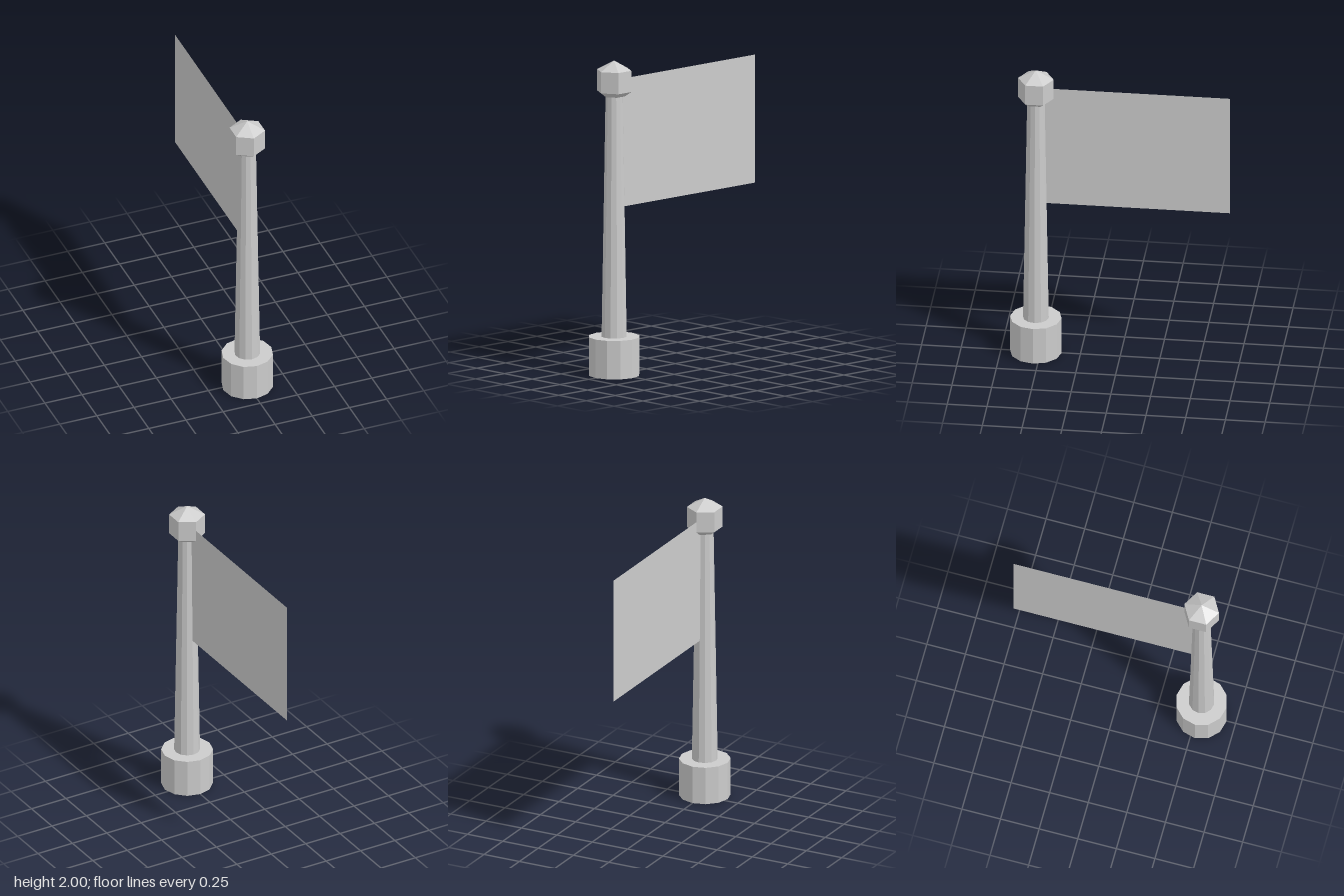
import * as THREE from 'three';

const POLE_Z = 0.53;

export function createModel() {
  const group = new THREE.Group();
  group.name = 'flagOnPole';
  const grey = new THREE.MeshStandardMaterial({ color: 0xcccccc, flatShading: true });
  const cloth = new THREE.MeshStandardMaterial({ color: 0xcccccc, side: THREE.DoubleSide });

  const add = (name, geometry, material, y, z) => {
    const mesh = new THREE.Mesh(geometry, material);
    mesh.name = name;
    mesh.position.set(0, y, z);
    group.add(mesh);
    return mesh;
  };

  // Twelve-sided foot and tapered pole
  add('base', new THREE.CylinderGeometry(0.162, 0.162, 0.245, 12), grey, 0.1225, POLE_Z);
  add('pole', new THREE.CylinderGeometry(0.055, 0.081, 1.56, 12), grey, 1.02, POLE_Z);

  // Six-sided finial: chamfered underside, straight collar, pointed cap
  const profile = [[0, 1.775], [0.07, 1.775], [0.112, 1.805], [0.112, 1.94], [0, 2]];
  const points = profile.map(([r, y]) => new THREE.Vector2(r, y));
  add('finial', new THREE.LatheGeometry(points, 6), grey, 0, POLE_Z);

  // Flat flag flying towards the back
  const front = 0.5, back = -0.69, bottom = 1.06, top = 1.875;
  const flag = add('flag', new THREE.PlaneGeometry(front - back, top - bottom), cloth,
    (top + bottom) / 2, (front + back) / 2);
  flag.rotation.y = Math.PI / 2;

  return group;
}
